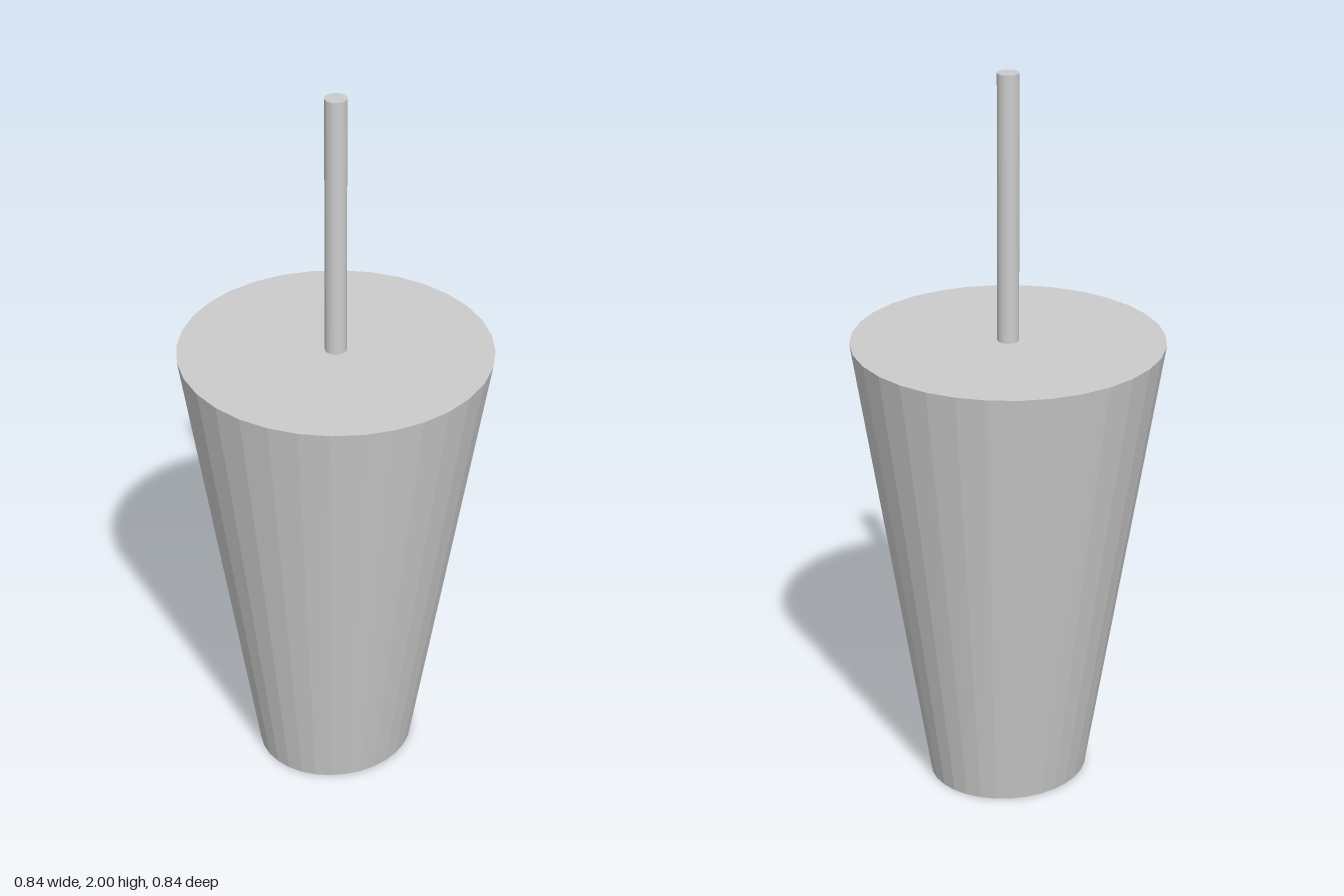
import * as THREE from 'three';

const SIDES = 32;

function addPart(group, name, geometry) {
  const material = new THREE.MeshStandardMaterial({ color: 0xcccccc, flatShading: true });
  const mesh = new THREE.Mesh(geometry, material);
  mesh.name = name;
  group.add(mesh);
}

export function createModel() {
  const group = new THREE.Group();
  group.name = 'taperedBlockWithRod';

  // Tapered body: round top, slightly oval base
  const bodyHeight = 1.275;
  const body = new THREE.CylinderGeometry(0.419, 0.215, bodyHeight, SIDES);
  body.translate(0, bodyHeight / 2, 0);
  const pos = body.attributes.position;
  for (let i = 0; i < pos.count; i++) {
    if (pos.getY(i) < 0.01) {
      pos.setX(i, pos.getX(i) * 0.206 / 0.215);
      pos.setZ(i, pos.getZ(i) * 0.224 / 0.215);
    }
  }
  body.computeVertexNormals();
  addPart(group, 'taperedBody', body);

  // Thin rod standing in the middle of the top
  const rodHeight = 2 - bodyHeight;
  const rod = new THREE.CylinderGeometry(0.029, 0.029, rodHeight, SIDES);
  rod.translate(0, bodyHeight + rodHeight / 2, 0);
  addPart(group, 'rod', rod);

  return group;
}
